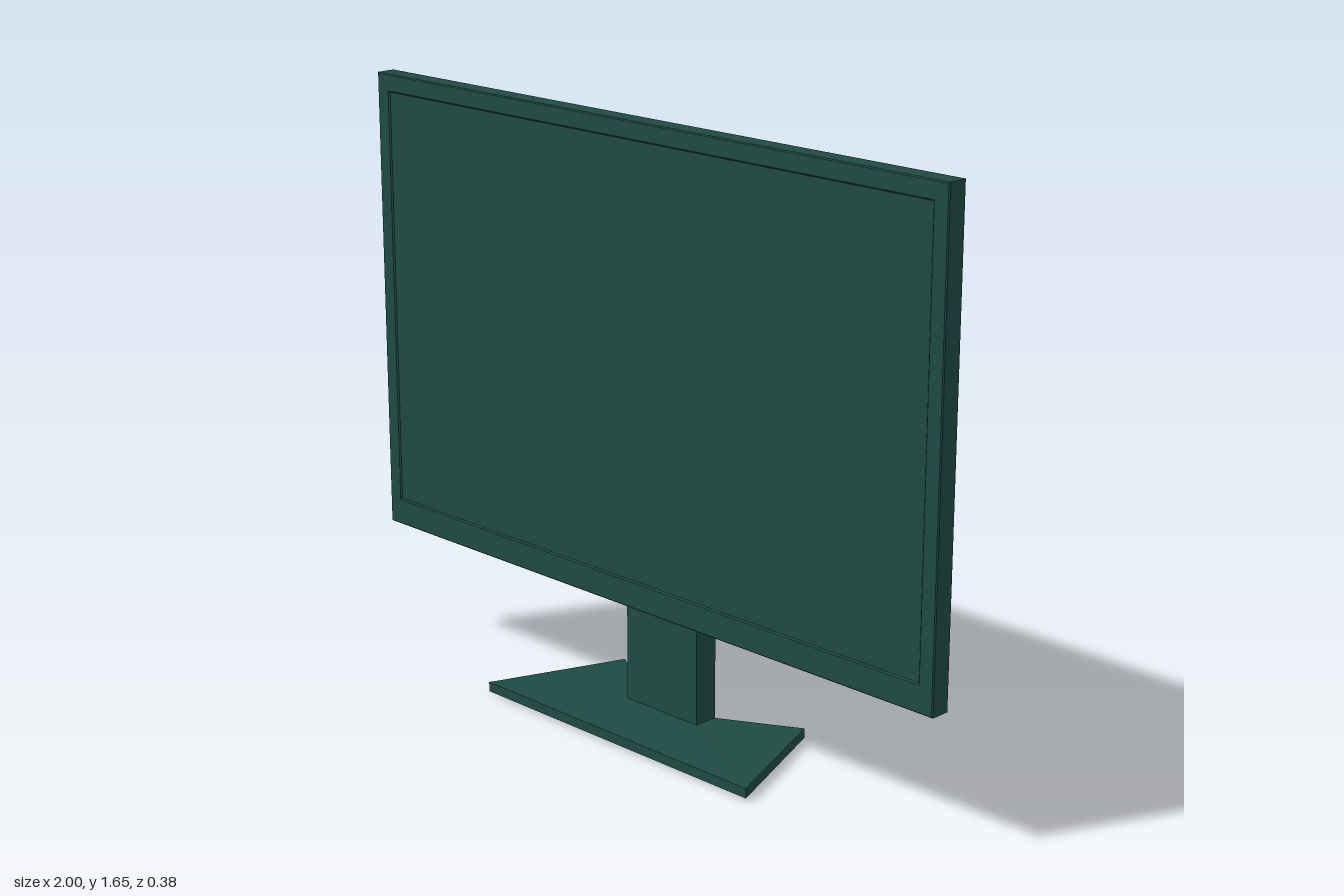
import * as THREE from 'three';

const material = new THREE.MeshStandardMaterial({ color: 0x1f4a43, flatShading: true });

// Closed solid through rings of equal length (counter-clockwise seen from the loft direction)
function loft(rings, capEnd = true) {
  const pos = [];
  const tri = (a, b, c) => pos.push(...a, ...b, ...c);
  const n = rings[0].length;
  for (let k = 0; k < rings.length - 1; k++) {
    for (let i = 0; i < n; i++) {
      const j = (i + 1) % n;
      const a = rings[k][i], b = rings[k][j], c = rings[k + 1][j], d = rings[k + 1][i];
      tri(a, b, c);
      tri(a, c, d);
    }
  }
  const first = rings[0], last = rings[rings.length - 1];
  for (let i = 1; i < n - 1; i++) {
    tri(first[0], first[i + 1], first[i]);
    if (capEnd) tri(last[0], last[i], last[i + 1]);
  }
  const geo = new THREE.BufferGeometry();
  geo.setAttribute('position', new THREE.Float32BufferAttribute(pos, 3));
  geo.computeVertexNormals();
  return geo;
}

// Upright rectangle at depth z
const rect = (w, y0, y1, z) => [[-w, y0, z], [w, y0, z], [w, y1, z], [-w, y1, z]];
// Ground outline at height y
const plan = (points, y) => points.map(([x, z]) => [x, y, z]);

export function createModel() {
  const model = new THREE.Group();
  model.name = 'monitor';
  const add = (name, geo) => {
    const mesh = new THREE.Mesh(geo, material);
    mesh.name = name;
    model.add(mesh);
    return mesh;
  };
  const addBox = (name, w, y0, y1, z0, z1) => {
    const mesh = add(name, new THREE.BoxGeometry(w * 2, y1 - y0, z1 - z0));
    mesh.position.set(0, (y0 + y1) / 2, (z0 + z1) / 2);
  };

  // Housing: shallow back facets towards the mount, bezel rim, front lip
  add('housing', loft([
    rect(0.22, 0.91, 1.175, 0.047),
    rect(0.953, 0.432, 1.6, 0.043),
    rect(0.957, 0.428, 1.604, 0.039),
    rect(0.997, 0.358, 1.647, 0.039),
    rect(1, 0.355, 1.65, 0.042),
    rect(1, 0.355, 1.65, 0.095),
    rect(0.997, 0.358, 1.647, 0.098),
    rect(0.957, 0.428, 1.604, 0.098),
    rect(0.953, 0.432, 1.6, 0.094),
  ], false));

  // Screen, set just behind the bezel
  const screen = add('screen', new THREE.PlaneGeometry(1.906, 1.168));
  screen.position.set(0, 1.016, 0.094);

  // Mount head, flaring out to meet the housing
  add('mountHead', loft([
    rect(0.127, 0.908, 1.167, -0.067),
    rect(0.13, 0.905, 1.17, -0.064),
    rect(0.13, 0.905, 1.185, -0.005),
    rect(0.22, 0.91, 1.177, 0.047),
  ]));

  // Stand: column with a slightly thinner neck under the mount
  addBox('neck', 0.127, 0.82, 0.91, -0.064, -0.002);
  addBox('column', 0.13, 0.02, 0.83, -0.067, 0.004);

  // Foot: bow-tie plate rising gently to the column
  const outer = [[-0.485, 0.19], [0.485, 0.19], [0.34, -0.19],
    [0.13, -0.07], [-0.13, -0.07], [-0.34, -0.19]];
  const inner = [[-0.13, 0.004], [0.13, 0.004], [0.13, -0.04],
    [0.13, -0.066], [-0.13, -0.066], [-0.13, -0.04]];
  add('foot', loft([plan(inner, 0), plan(outer, 0.007), plan(outer, 0.034), plan(inner, 0.038)]));

  return model;
}
